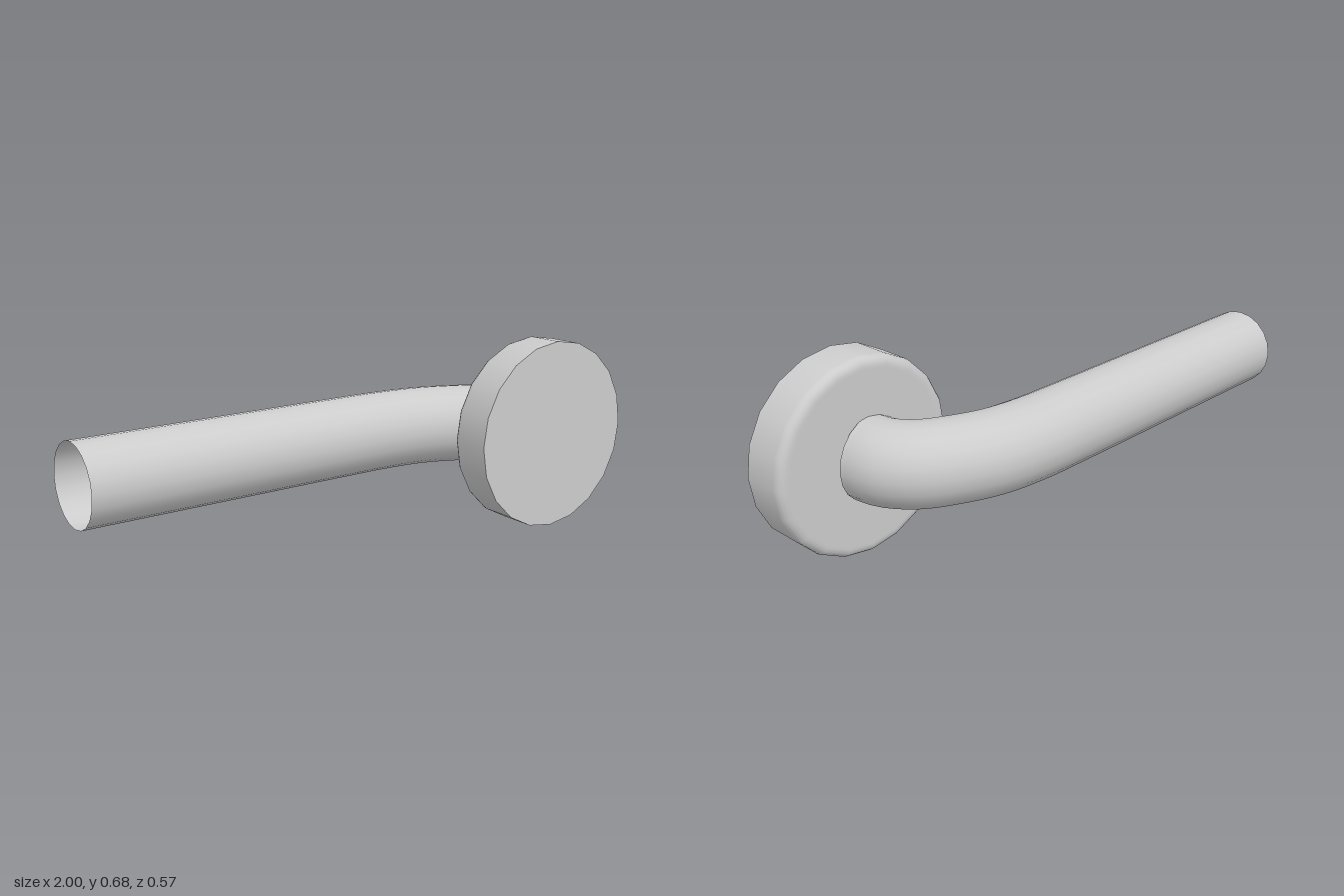
import * as THREE from 'three';
import { toCreasedNormals } from 'three/addons/utils/BufferGeometryUtils.js';

const SIDES = 20;
const AXIS_Y = 0.34;

// Bent grip: nearly straight bar that curves forward into the rose, open at its free end
function makeGrip(material) {
  const path = new THREE.CatmullRomCurve3(
    [[-1, -0.13], [-0.5, -0.136], [0, -0.142], [0.2, -0.141], [0.357, -0.122],
      [0.478, -0.078], [0.58, -0.02], [0.635, 0.054], [0.65, 0.13]]
      .map(([x, z]) => new THREE.Vector3(x, AXIS_Y, z)));
  const grip = new THREE.Mesh(new THREE.TubeGeometry(path, 60, 0.142, SIDES, false), material);
  grip.name = 'leverGrip';
  return grip;
}

// Round rose: disc with a rounded rim on the side that meets the grip
function makeRose(material) {
  const radius = 0.34, depth = 0.16, bevel = 0.03, steps = 4;
  const profile = [new THREE.Vector2(0, 0), new THREE.Vector2(radius, 0)];
  for (let i = 0; i <= steps; i++) {
    const a = (i / steps) * Math.PI / 2;
    profile.push(new THREE.Vector2(
      radius - bevel + bevel * Math.cos(a), depth - bevel + bevel * Math.sin(a)));
  }
  profile.push(new THREE.Vector2(radius - bevel - 0.01, depth), new THREE.Vector2(0, depth));
  const geometry = new THREE.LatheGeometry(profile, SIDES).rotateX(-Math.PI / 2);
  const rose = new THREE.Mesh(toCreasedNormals(geometry, 0.6), material);
  rose.name = 'mountingRose';
  rose.position.set(0.66, AXIS_Y, 0.285);
  return rose;
}

export function createModel() {
  const metal = new THREE.MeshStandardMaterial({ color: 0xcccccc, side: THREE.DoubleSide });
  metal.name = 'brushed metal';
  const group = new THREE.Group();
  group.name = 'doorHandle';
  group.add(makeGrip(metal), makeRose(metal));
  return group;
}
